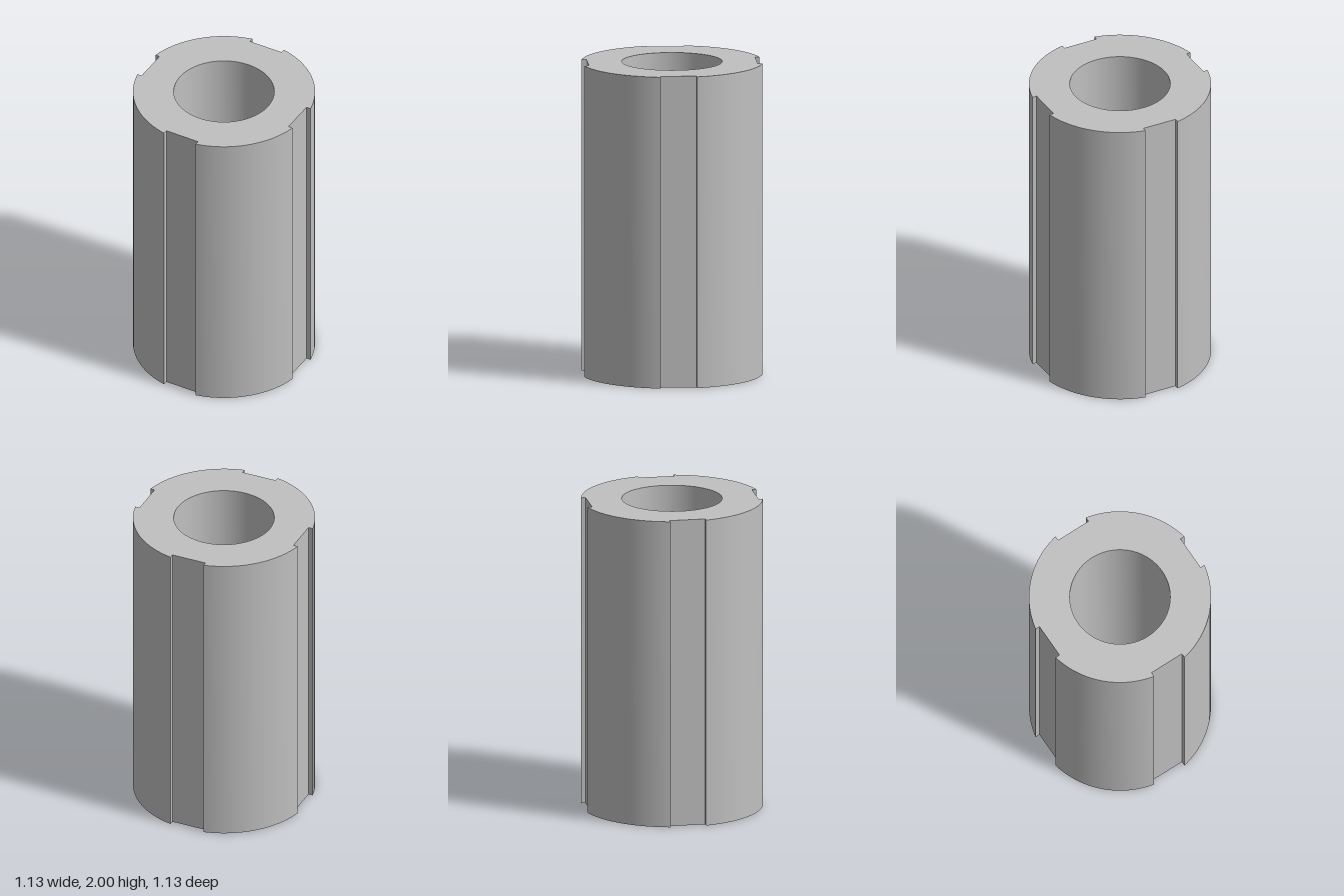
import * as THREE from 'three';
import { toCreasedNormals } from 'three/addons/utils/BufferGeometryUtils.js';

const HEIGHT = 2;
const OUTER_RADIUS = 0.576;
const BORE_RADIUS = 0.318;
const GROOVE_HALF_WIDTH = 0.115;
const GROOVE_FLOOR = 0.535; // distance of the flat groove floor from the axis
const ARC_STEPS = 24;
const BORE_STEPS = 96;

// Ring outline: four arcs, each followed by a shallow square-cut groove
function ringShape() {
  const points = [];
  const edge = Math.asin(GROOVE_HALF_WIDTH / OUTER_RADIUS);
  for (let q = 0; q < 4; q++) {
    const turn = (q * Math.PI) / 2;
    const origin = new THREE.Vector2();
    points.push(new THREE.Vector2(GROOVE_FLOOR, -GROOVE_HALF_WIDTH).rotateAround(origin, turn));
    points.push(new THREE.Vector2(GROOVE_FLOOR, GROOVE_HALF_WIDTH).rotateAround(origin, turn));
    for (let i = 0; i <= ARC_STEPS; i++) {
      const a = turn + edge + (i / ARC_STEPS) * (Math.PI / 2 - 2 * edge);
      points.push(new THREE.Vector2(Math.cos(a) * OUTER_RADIUS, Math.sin(a) * OUTER_RADIUS));
    }
  }
  const shape = new THREE.Shape(points);

  // Central bore
  const bore = [];
  for (let i = 0; i < BORE_STEPS; i++) {
    const a = (-i / BORE_STEPS) * Math.PI * 2;
    bore.push(new THREE.Vector2(Math.cos(a) * BORE_RADIUS, Math.sin(a) * BORE_RADIUS));
  }
  shape.holes.push(new THREE.Path(bore));
  return shape;
}

export function createModel() {
  const model = new THREE.Group();
  model.name = 'groovedSleeve';

  const greyMetal = new THREE.MeshStandardMaterial({ color: 0xc0c0c0 });
  greyMetal.name = 'grey metal';

  // Sleeve body, extruded upward with smooth arcs and sharp groove edges
  const geometry = new THREE.ExtrudeGeometry(ringShape(), { depth: HEIGHT, bevelEnabled: false });
  geometry.rotateX(-Math.PI / 2);
  const sleeve = new THREE.Mesh(toCreasedNormals(geometry, 0.5), greyMetal);
  sleeve.name = 'sleeveBody';
  model.add(sleeve);

  return model;
}
